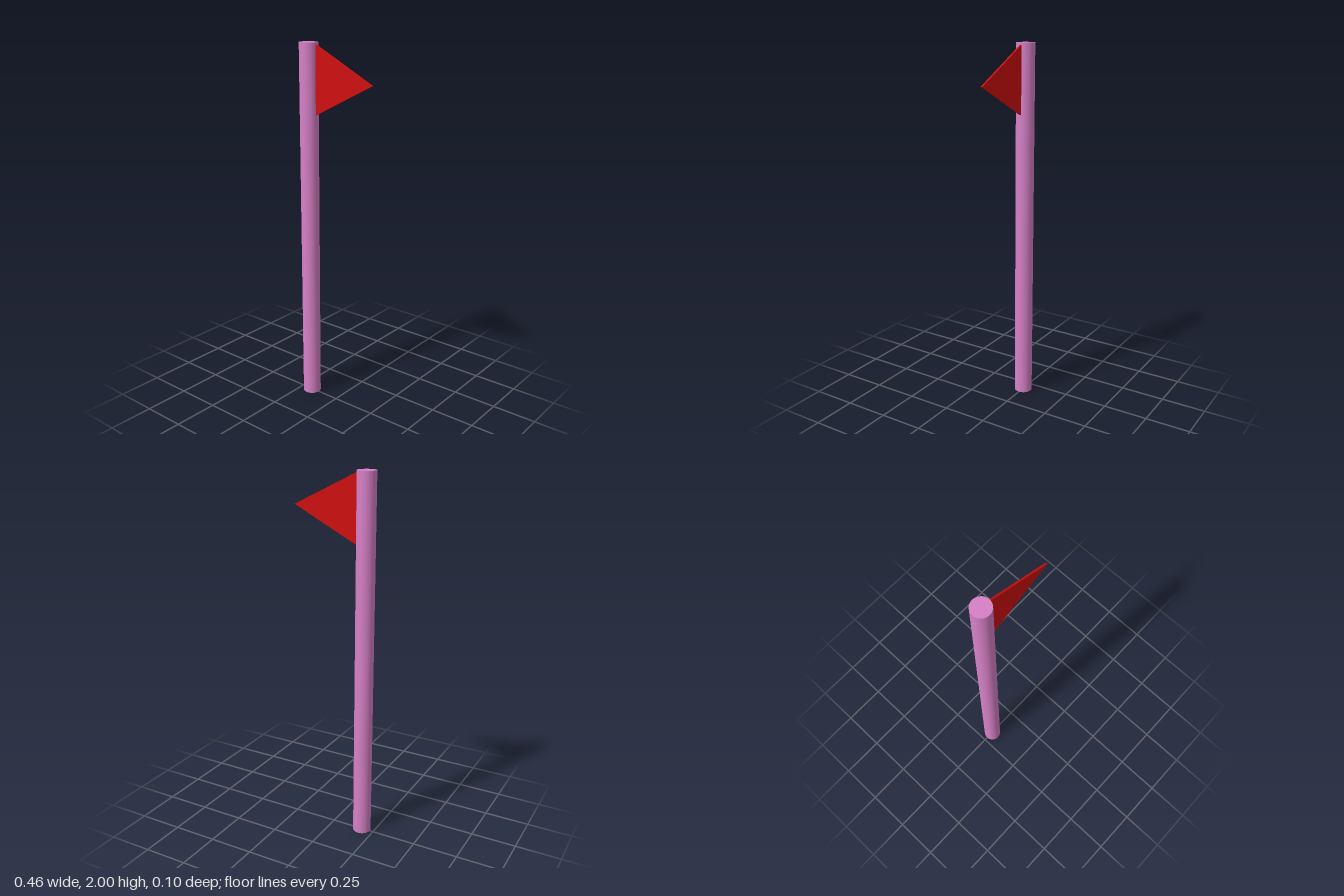
import * as THREE from 'three';

export function createModel() {
  const model = new THREE.Group();
  const poleRadius = 0.05, poleX = -0.18, height = 2;

  // Round pole
  const pole = new THREE.Mesh(
    new THREE.CylinderGeometry(poleRadius, poleRadius, height, 48),
    new THREE.MeshStandardMaterial({ color: 0xd680c6 })
  );
  pole.name = 'pole';
  pole.position.set(poleX, height / 2, 0);
  model.add(pole);

  // Thin triangular pennant, its base against the pole
  const thickness = 0.01, baseX = poleX + poleRadius - 0.001;
  const outline = new THREE.Shape([
    new THREE.Vector2(baseX, 1.63),
    new THREE.Vector2(0.23, 1.81),
    new THREE.Vector2(baseX, 1.99),
  ]);
  const pennant = new THREE.Mesh(
    new THREE.ExtrudeGeometry(outline, { depth: thickness, bevelEnabled: false }),
    new THREE.MeshStandardMaterial({ color: 0xd01010 })
  );
  pennant.name = 'pennant';
  pennant.position.z = -thickness / 2;
  model.add(pennant);

  return model;
}
